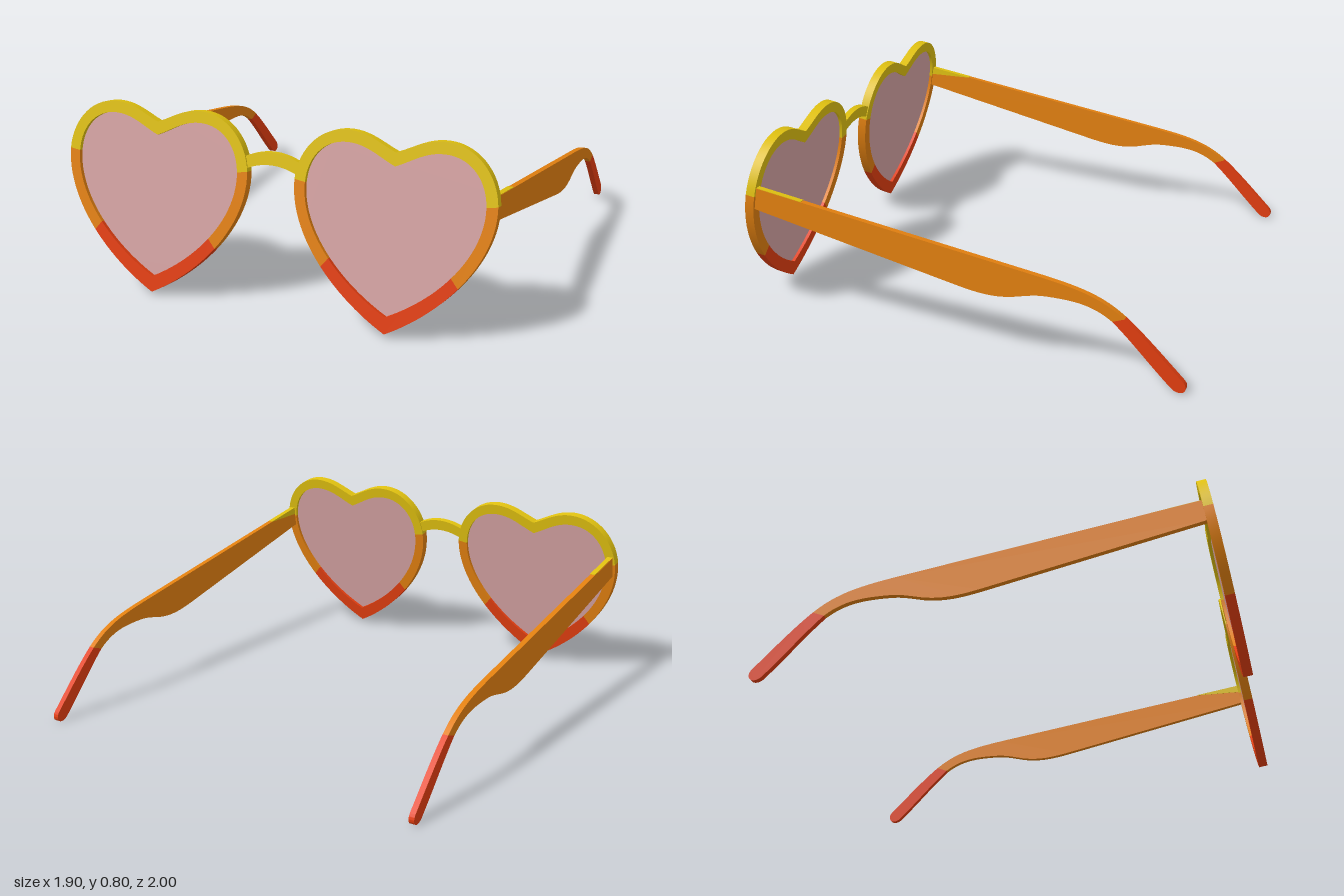
import * as THREE from 'three';
import { toCreasedNormals } from 'three/addons/utils/BufferGeometryUtils.js';

const material = (name, color, side = THREE.FrontSide) => {
  const m = new THREE.MeshStandardMaterial({ color, side });
  m.name = name;
  return m;
};
const V = (x, y) => new THREE.Vector2(x, y);

// Half a heart outline, from the notch over the lobe to the lower tip
function halfHeart(start, curves, steps) {
  const pts = [V(...start)];
  let from = V(...start);
  curves.forEach(([a, b, c], i) => {
    const curve = new THREE.CubicBezierCurve(from, V(...a), V(...b), V(...c));
    pts.push(...curve.getPoints(steps[i]).slice(1));
    from = V(...c);
  });
  return pts;
}

const flip = (pts) => pts.map((p) => V(-p.x, p.y));

function extrude(pts, depth) {
  const g = new THREE.ExtrudeGeometry(new THREE.Shape(pts), { depth, bevelEnabled: false, curveSegments: 12 });
  return toCreasedNormals(g, 0.6);
}

export function createModel() {
  const yellow = material('yellow', 0xdfc010);
  const orange = material('orange', 0xe28010);
  const red = material('red', 0xe23e10);
  const pink = material('rose lens', 0xd4a2a2, THREE.DoubleSide);

  const model = new THREE.Group();
  model.name = 'heartSunglasses';
  const add = (parent, name, geometry, mat, x = 0, y = 0, z = 0) => {
    const mesh = new THREE.Mesh(geometry, mat);
    mesh.name = name;
    mesh.position.set(x, y, z);
    parent.add(mesh);
    return mesh;
  };

  // Front assembly, leaning back at the top
  const tilt = 0.16, thick = 0.04;
  const front = new THREE.Group();
  front.name = 'front';
  front.rotation.x = -tilt;
  front.position.z = 1.0;
  front.scale.y = 1 / Math.cos(tilt);
  model.add(front);

  const steps = [10, 16, 24];
  const outer = halfHeart([0, 0.74], [
    [[0.07, 0.768], [0.12, 0.805], [0.2, 0.805]],
    [[0.33, 0.805], [0.425, 0.69], [0.422, 0.56]],
    [[0.417, 0.34], [0.21, 0.13], [0, 0.022]],
  ], steps);
  const inner = halfHeart([0, 0.686], [
    [[0.07, 0.715], [0.12, 0.757], [0.2, 0.757]],
    [[0.305, 0.757], [0.378, 0.675], [0.376, 0.555]],
    [[0.37, 0.365], [0.19, 0.185], [0, 0.09]],
  ], steps);

  // Rim bands split by height
  const at = (y) => outer.findIndex((p, i) => i > steps[0] + 4 && (p.y + inner[i].y) / 2 < y);
  const cuts = [0, at(0.59), at(0.285), outer.length - 1];
  const bands = [['rimTop', yellow], ['rimSide', orange], ['rimBottom', red]];

  for (const side of [1, -1]) {
    const eye = new THREE.Group();
    eye.name = side > 0 ? 'leftEyepiece' : 'rightEyepiece';
    eye.position.x = side * 0.527;
    front.add(eye);
    bands.forEach(([name, mat], i) => {
      const a = cuts[i], b = cuts[i + 1] + 1;
      const strip = [...outer.slice(a, b), ...inner.slice(a, b).reverse()];
      add(eye, name, extrude(strip, thick), mat, 0, 0, -thick);
      add(eye, name, extrude(flip(strip), thick), mat, 0, 0, -thick);
    });
    const lensOutline = [...inner, ...flip(inner).reverse().slice(1, -1)];
    add(eye, 'lens', extrude(lensOutline, 0.008), pink, 0, 0, -0.026);
  }

  // Arched nose bridge
  const arch = (y0, y1, x) => new THREE.QuadraticBezierCurve(V(-x, y0), V(0, 2 * y1 - y0), V(x, y0)).getPoints(20);
  const bridge = [...arch(0.592, 0.623, 0.125), ...arch(0.64, 0.675, 0.135).reverse()];
  add(front, 'bridge', extrude(bridge, 0.03), yellow, 0, 0, -0.036);

  // Temple profiles, drawn with distance backwards along the first axis
  const arm = new THREE.Shape();
  arm.moveTo(-0.88, 0.52);
  arm.lineTo(0.02, 0.32);
  arm.bezierCurveTo(0.12, 0.298, 0.19, 0.286, 0.28, 0.304);
  arm.bezierCurveTo(0.37, 0.326, 0.38, 0.33, 0.45, 0.33);
  arm.bezierCurveTo(0.55, 0.33, 0.62, 0.32, 0.695, 0.266);
  arm.lineTo(0.745, 0.285);
  arm.bezierCurveTo(0.65, 0.36, 0.56, 0.383, 0.4, 0.41);
  arm.lineTo(-0.865, 0.614);

  const tip = new THREE.Shape();
  tip.moveTo(0.695, 0.266);
  tip.bezierCurveTo(0.77, 0.2, 0.85, 0.105, 0.94, 0.018);
  tip.bezierCurveTo(0.962, -0.002, 0.985, 0.0, 0.995, 0.013);
  tip.bezierCurveTo(1.004, 0.027, 0.998, 0.042, 0.985, 0.055);
  tip.bezierCurveTo(0.91, 0.13, 0.82, 0.225, 0.745, 0.285);

  // Yellow highlight at the hinge, showing on top and on the inner side
  const hinge = new THREE.Shape([V(-0.87, 0.58), V(-0.655, 0.58), V(-0.655, 0.582), V(-0.865, 0.616)]);

  const width = 0.025;
  const build = (shape, depth) => extrude(shape.getPoints(12), depth).rotateY(Math.PI / 2);
  for (const side of [1, -1]) {
    const temple = new THREE.Group();
    temple.name = side > 0 ? 'leftTemple' : 'rightTemple';
    model.add(temple);
    const x = side > 0 ? 0.912 : -0.912 - width;
    add(temple, 'templeArm', build(arm, width), orange, x);
    add(temple, 'templeTip', build(tip, width), red, x);
    add(temple, 'hingeHighlight', build(hinge, width), yellow, x - side * 0.0015);
  }
  return model;
}
